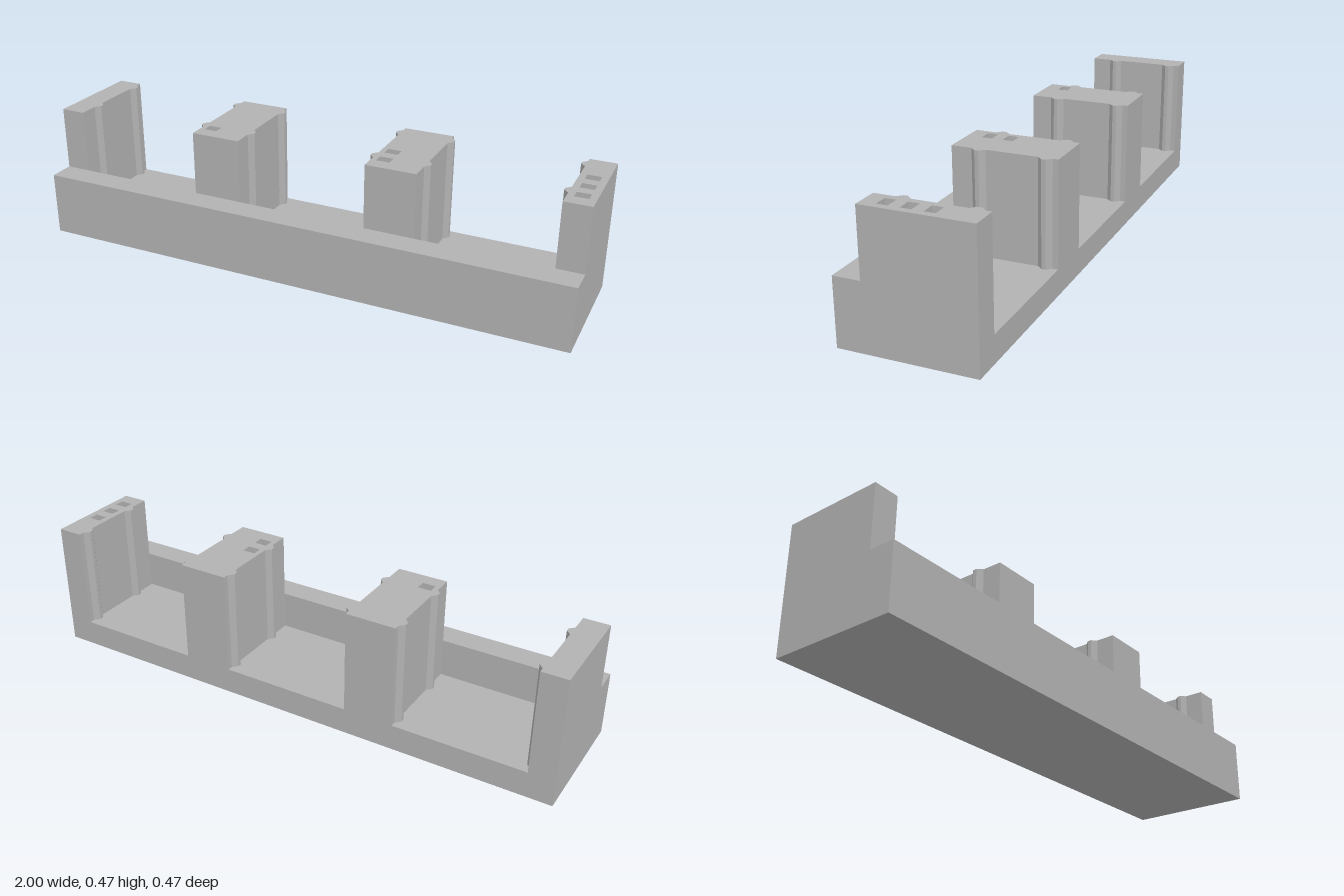
import * as THREE from 'three';

const FLOOR = 0.095, LIP = 0.235, TOP = 0.47, POCKET = 0.03;
const BACK = -0.235, WALL = 0.14, FRONT = 0.235;
const RIDGE_Z = [-0.19, 0.043]; // ridge centres on each bay side
const POCKET_Z = [0.069, -0.006, -0.081];

// Extrude a plan outline (x, -z) upward between two heights
function extrudeUp(shape, y0, y1) {
  const g = new THREE.ExtrudeGeometry(shape, { depth: y1 - y0, bevelEnabled: false });
  g.rotateX(-Math.PI / 2);
  g.translate(0, y0, 0);
  return g;
}

// Points down one side of a pillar, back to front, with two chamfered ridges
function sidePoints(x, dir, ridged) {
  const pts = [[x, BACK]];
  if (ridged) {
    for (const z of RIDGE_Z) {
      const out = x + dir * 0.017;
      pts.push([x, z - 0.025], [out, z - 0.007], [out, z + 0.007], [x, z + 0.025]);
    }
  }
  pts.push([x, WALL]);
  return pts;
}

function pillarShape(p) {
  const left = sidePoints(p.x0, -1, p.x0 > -1);
  const right = sidePoints(p.x1, 1, p.x1 < 1).reverse();
  return new THREE.Shape([...left, ...right].map(([x, z]) => new THREE.Vector2(x, -z)));
}

export function createModel() {
  const model = new THREE.Group();
  model.name = 'bayRack';
  const grey = new THREE.MeshStandardMaterial({ color: 0xb2b2b2, flatShading: true });
  grey.name = 'plain grey';
  const add = (parent, geometry, name) => {
    const mesh = new THREE.Mesh(geometry, grey);
    mesh.name = name;
    parent.add(mesh);
  };

  // Base: floor slab with a raised front wall, one L section along x
  const section = new THREE.Shape([
    [-FRONT, 0], [-BACK, 0], [-BACK, FLOOR], [-WALL, FLOOR], [-WALL, LIP], [-FRONT, LIP],
  ].map(([x, y]) => new THREE.Vector2(x, y)));
  const base = new THREE.ExtrudeGeometry(section, { depth: 2, bevelEnabled: false });
  base.translate(0, 0, -1);
  base.rotateY(Math.PI / 2);
  add(model, base, 'baseWithFrontWall');

  // Pillars between the bays, marked by a growing count of square pockets
  const pillars = [
    { x0: -1, x1: -0.908, count: 0 },
    { x0: -0.426, x1: -0.242, count: 1, px: -0.384 },
    { x0: 0.242, x1: 0.426, count: 2, px: 0.285 },
    { x0: 0.905, x1: 1, count: 3, px: 0.952 },
  ];
  pillars.forEach((p, i) => {
    const group = new THREE.Group();
    group.name = `pillar${i + 1}`;
    const split = p.count ? TOP - POCKET : TOP;
    add(group, extrudeUp(pillarShape(p), FLOOR, split), 'pillarBody');
    if (p.count) {
      const cap = pillarShape(p);
      for (const z of POCKET_Z.slice(0, p.count)) {
        const w = 0.024, d = 0.0185;
        cap.holes.push(new THREE.Path([[-w, -d], [-w, d], [w, d], [w, -d]]
          .map(([x, y]) => new THREE.Vector2(p.px + x, y - z))));
      }
      add(group, extrudeUp(cap, split, TOP), 'pocketedCap');
    }
    model.add(group);
  });
  return model;
}
